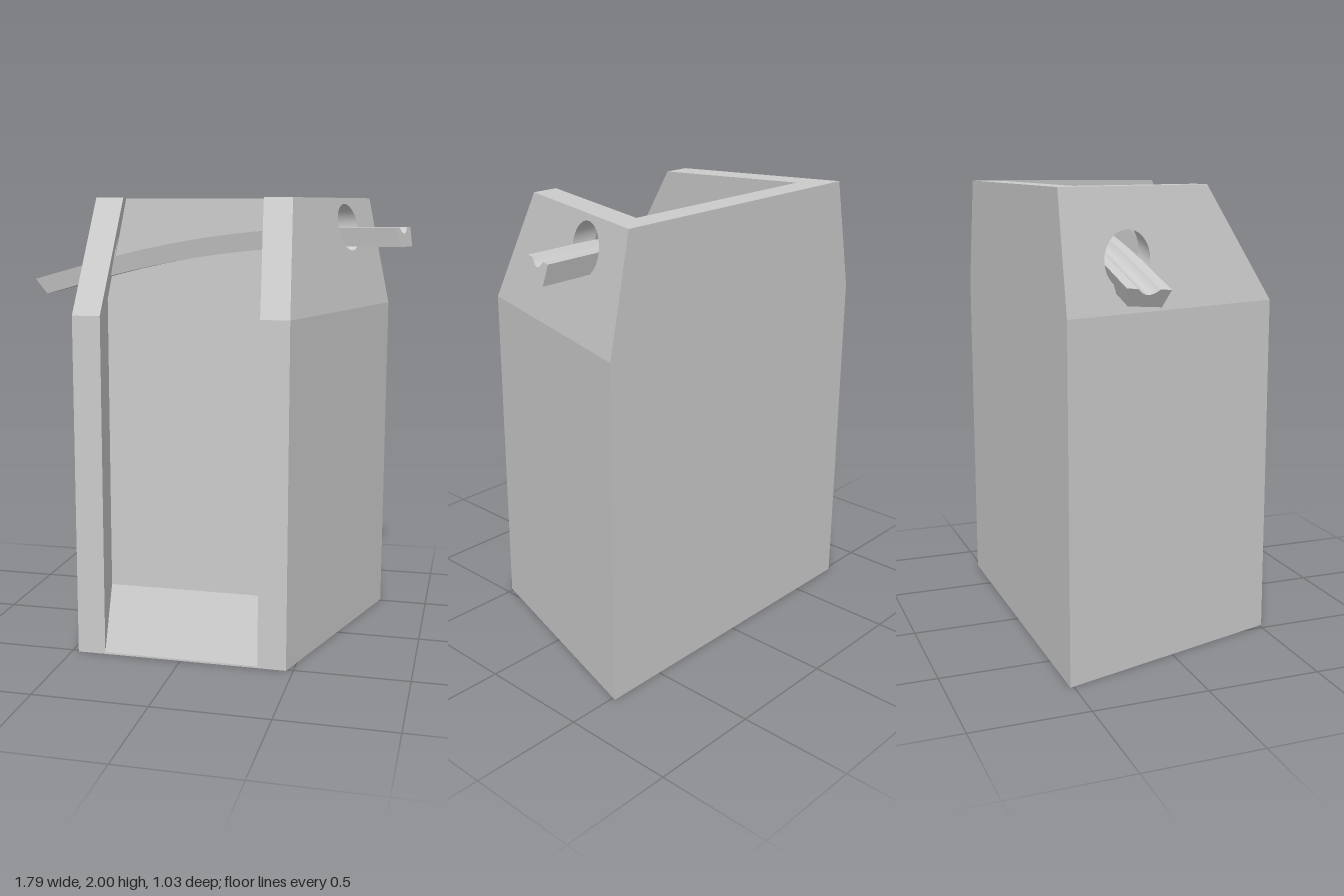
import * as THREE from 'three';
import { toCreasedNormals } from 'three/addons/utils/BufferGeometryUtils.js';

const BACK = -0.515, FRONT = 0.512, INNER_BACK = -0.4;
const SHOULDER = 1.505, TOP = 2, WALL = 0.125, BEAM_Z = -0.217;

// half-width of the outer side face: flares towards the back, leans in above the shoulder
const outerX = (z, y) => 0.47 + (FRONT - z) * 0.297 - 0.21 * Math.max(0, y - SHOULDER);
const innerX = (z, y) => outerX(z, y) - WALL;

const polygon = (pts) => new THREE.Shape(pts.map(([a, b]) => new THREE.Vector2(a, b)));

// extrude a plan drawn in x, z upwards from y = 0
function extrudePlan(pts, height) {
  const geo = new THREE.ExtrudeGeometry(polygon(pts.map(([x, z]) => [x, -z])), { depth: height, bevelEnabled: false });
  return geo.rotateX(-Math.PI / 2);
}

// move every vertex by a rule, then rebuild the normals
function reshape(geo, rule) {
  const p = geo.attributes.position;
  for (let i = 0; i < p.count; i++) p.setXYZ(i, ...rule(p.getX(i), p.getY(i), p.getZ(i)));
  geo.computeVertexNormals();
  return toCreasedNormals(geo, 0.5);
}

// leaning upper side wall with a sloped front edge and a round hole
function upperWall(side, topFront, holeY, holeR, holeSlope) {
  const shape = polygon([[BACK, SHOULDER], [FRONT, SHOULDER], [topFront, TOP], [BACK, TOP]]);
  const hole = new THREE.Path();
  hole.absarc(BEAM_Z, holeY, holeR, 0, Math.PI * 2, true);
  shape.holes.push(hole);
  const geo = new THREE.ExtrudeGeometry(shape, { depth: 1, bevelEnabled: false, curveSegments: 24 });
  const axisX = outerX(BEAM_Z, holeY);
  return reshape(geo, (z, y, t) => {
    const inset = WALL * (side > 0 ? t : 1 - t);
    const onHole = Math.hypot(z - BEAM_Z, y - holeY) < holeR + 0.001;
    if (onHole) y += holeSlope * side * (outerX(z, y) - inset - axisX);
    return [side * (outerX(z, y) - inset), y, z];
  });
}

// top line of the beam: falling straight end, arc, level straight end
function beamTop(x) {
  if (x > 0.6) return 1.868;
  if (x > -0.6) return 1.868 - 0.118 * (0.6 - x) ** 2;
  return 1.698 + 0.28 * (x + 0.6);
}

// grooved beam that runs through both holes
function beamGeometry() {
  const section = new THREE.Shape();
  section.moveTo(-0.086, 0);
  section.lineTo(-0.066, -0.086);
  section.lineTo(0.066, -0.086);
  section.lineTo(0.086, 0);
  section.lineTo(0.043, 0);
  section.quadraticCurveTo(0, -0.056, -0.043, 0);
  const geo = new THREE.ExtrudeGeometry(section, { depth: 1, steps: 40, bevelEnabled: false, curveSegments: 12 });
  return reshape(geo, (dz, v, t) => {
    const z = BEAM_Z + dz;
    const right = outerX(z, 1.868 + v) + 0.248;
    const left = -0.89 - (z + 0.13) * 0.176 - v * 0.55;
    const x = right + (left - right) * t;
    return [x, beamTop(x) + v, z];
  });
}

export function createModel() {
  const group = new THREE.Group();
  const material = new THREE.MeshStandardMaterial({ color: 0xcccccc });
  const add = (name, geo) => {
    const mesh = new THREE.Mesh(geo, material);
    mesh.name = name;
    group.add(mesh);
  };

  // U-shaped lower housing, open at the front
  const ob = outerX(BACK, 0), of = outerX(FRONT, 0);
  const ib = innerX(INNER_BACK, 0), inf = innerX(FRONT, 0);
  add('lowerHousing', extrudePlan([
    [-ob, BACK], [ob, BACK], [of, FRONT], [inf, FRONT],
    [ib, INNER_BACK], [-ib, INNER_BACK], [-inf, FRONT], [-of, FRONT],
  ], SHOULDER));

  // thin floor between the walls
  add('floor', extrudePlan([[-ib, INNER_BACK], [ib, INNER_BACK], [inf, FRONT], [-inf, FRONT]], 0.008));

  // upper walls
  add('leftUpperWall', upperWall(1, 0.278, 1.868, 0.105, 0));
  add('rightUpperWall', upperWall(-1, 0.212, 1.715, 0.11, 0.28));
  const wb = innerX(BACK, SHOULDER), wt = innerX(BACK, TOP);
  const backWall = new THREE.ExtrudeGeometry(
    polygon([[-wb, SHOULDER], [wb, SHOULDER], [wt, TOP], [-wt, TOP]]),
    { depth: INNER_BACK - BACK, bevelEnabled: false });
  add('backUpperWall', backWall.translate(0, 0, BACK));

  add('groovedBeam', beamGeometry());
  return group;
}
